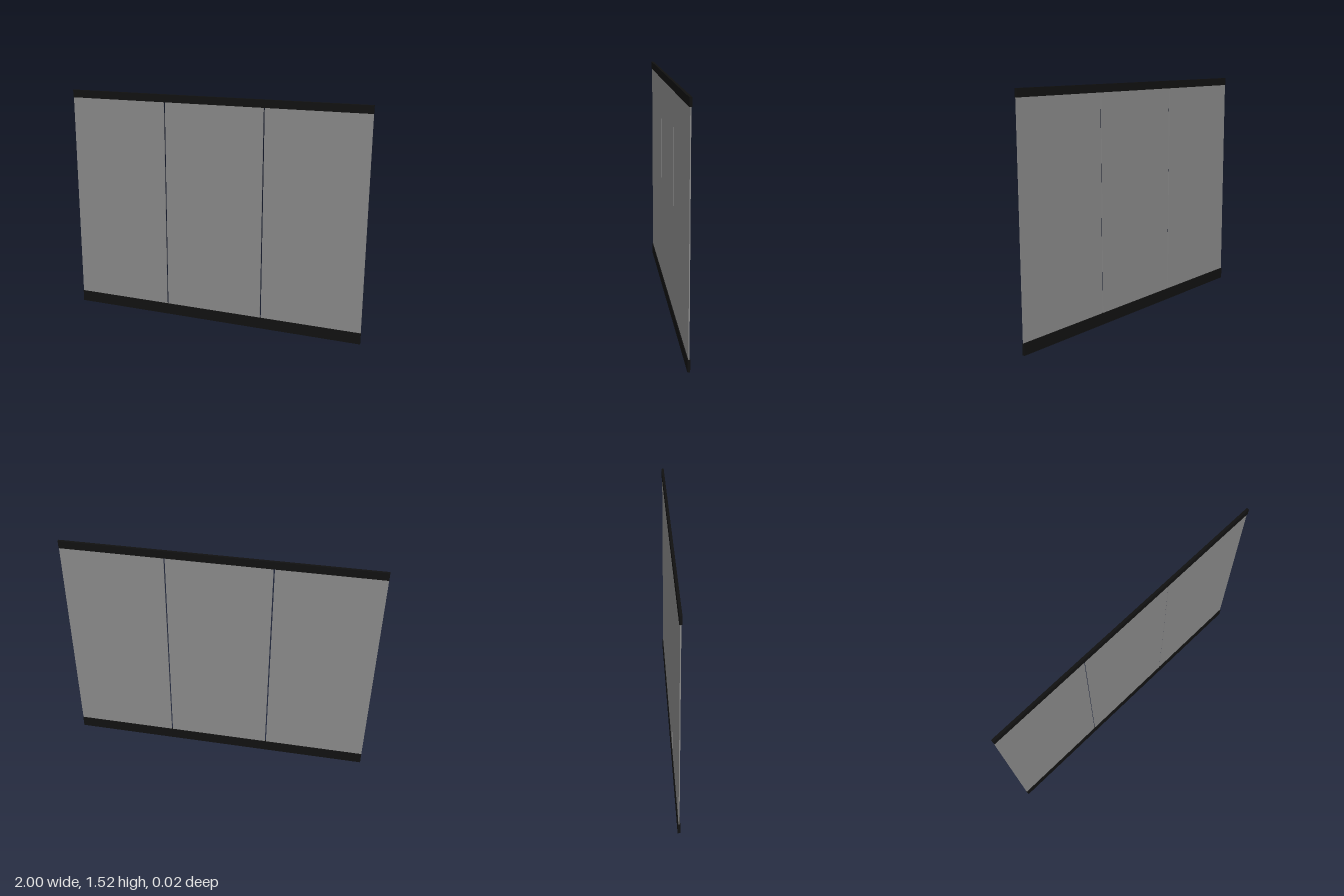
import * as THREE from 'three';

export function createModel() {
  const group = new THREE.Group();
  const railMat = new THREE.MeshStandardMaterial({ color: 0x111111 });
  const glassMat = new THREE.MeshStandardMaterial({ color: 0x888888 });

  // Box spanning y0..y1, centred on z = 0
  function addBox(name, width, y0, y1, depth, x, material) {
    const mesh = new THREE.Mesh(new THREE.BoxGeometry(width, y1 - y0, depth), material);
    mesh.name = name;
    mesh.position.set(x, (y0 + y1) / 2, 0);
    group.add(mesh);
  }

  const bottomTop = 0.075, topBottom = 1.467, height = 1.517;

  // Floor and head rails
  addBox('bottomRail', 2, 0, bottomTop, 0.016, 0, railMat);
  addBox('topRail', 2, topBottom, height, 0.016, 0, railMat);

  // Three glass panes separated by narrow gaps
  const count = 3, gap = 0.008;
  const paneWidth = (2 - gap * (count - 1)) / count;
  for (let i = 0; i < count; i++) {
    const x = (i - (count - 1) / 2) * (paneWidth + gap);
    addBox('glassPane' + (i + 1), paneWidth, bottomTop, topBottom, 0.006, x, glassMat);
  }

  return group;
}
